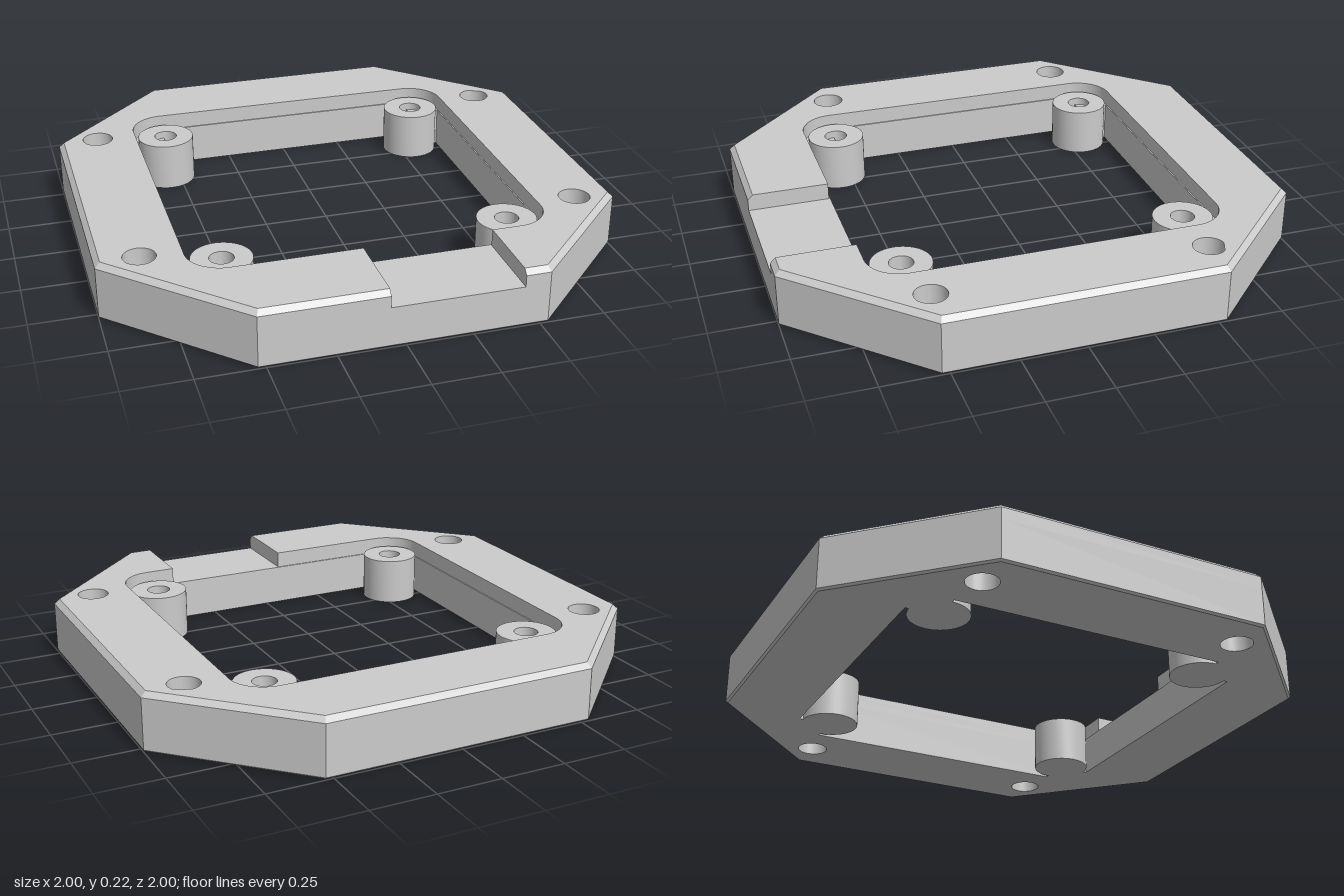
import * as THREE from 'three';
import { toCreasedNormals } from 'three/addons/utils/BufferGeometryUtils.js';

const C = 0.53;        // where the cut corners of the octagon start
const POST = 0.55;     // post centre and pocket corner centre
const POCKET = 0.685;  // half width of the upper pocket
const OPEN = 0.68;     // half width of the lower opening
const LEDGE = 0.16;    // floor of the cable notch and corner ledges

const octagon = [[C, -1], [1, -C], [1, C], [C, 1], [-C, 1], [-1, C], [-1, -C], [-C, -1]];

// Shapes are drawn in (x, -z)
function addScrewHoles(shape) {
  for (const sx of [-1, 1]) for (const sy of [-1, 1]) {
    const hole = new THREE.Path();
    hole.absarc(sx * 0.84, sy * 0.52, 0.061, 0, Math.PI * 2, true);
    shape.holes.push(hole);
  }
  return shape;
}

// Extrude through three heights, drawing in the outer edge on one of them as a chamfer
function chamferedLayer(shape, heights, chamferStep, inset) {
  const g = new THREE.ExtrudeGeometry(shape, { depth: 2, steps: 2, bevelEnabled: false, curveSegments: 20 });
  g.rotateX(-Math.PI / 2);
  const p = g.attributes.position;
  for (let i = 0; i < p.count; i++) {
    const step = Math.round(p.getY(i));
    let x = p.getX(i), z = p.getZ(i);
    const ax = Math.abs(x), az = Math.abs(z);
    if (step === chamferStep && Math.max(ax, az) > 0.999) {
      const side = inset * Math.tan(Math.PI / 8);
      if (az > 0.999) {
        z -= Math.sign(z) * inset;
        if (Math.abs(ax - C) < 0.001) x -= Math.sign(x) * side;
      } else {
        x -= Math.sign(x) * inset;
        z -= Math.sign(z) * side;
      }
    }
    p.setXYZ(i, x, heights[step], z);
  }
  return toCreasedNormals(g, 0.5);
}

export function createModel() {
  const group = new THREE.Group();
  const material = new THREE.MeshStandardMaterial({ color: 0xcccccc });
  const add = (name, geometry) => {
    const mesh = new THREE.Mesh(geometry, material);
    mesh.name = name;
    group.add(mesh);
    return mesh;
  };

  // Lower frame: square opening with a filled step in each corner
  const lower = new THREE.Shape(octagon.map(([x, y]) => new THREE.Vector2(x, y)));
  const opening = [];
  for (const [sx, sy] of [[1, 1], [-1, 1], [-1, -1], [1, -1]]) {
    const corner = [[OPEN, POST], [POST, POST], [POST, OPEN]];
    if (sx * sy < 0) corner.reverse();
    for (const [x, y] of corner) opening.push(new THREE.Vector2(sx * x, sy * y));
  }
  lower.holes.push(new THREE.Path(opening));
  add('lowerFrame', chamferedLayer(addScrewHoles(lower), [0, 0.008, LEDGE], 0, 0.008));

  // Upper frame: rounded pocket, broken at the front by the cable notch
  const upper = new THREE.Shape();
  upper.moveTo(0.435, -1);
  for (const [x, y] of octagon) upper.lineTo(x, y);
  upper.lineTo(-0.06, -1);
  upper.lineTo(-0.06, -POCKET);
  const r = POCKET - POST, q = Math.PI / 2;
  [[-1, -1, -q], [-1, 1, 2 * q], [1, 1, q], [1, -1, 0]].forEach(([sx, sy, a]) =>
    upper.absarc(sx * POST, sy * POST, r, a, a - q, true));
  upper.lineTo(0.435, -POCKET);
  upper.closePath();
  add('upperFrame', chamferedLayer(addScrewHoles(upper), [LEDGE, 0.205, 0.225], 2, 0.02));

  // Corner posts with blind screw holes
  const profile = [[0, 0], [0.115, 0], [0.115, 0.19], [0.046, 0.19], [0.046, 0.06], [0, 0.06]];
  const post = toCreasedNormals(
    new THREE.LatheGeometry(profile.map(([x, y]) => new THREE.Vector2(x, y)), 40), 0.5);
  for (const sx of [-1, 1]) for (const sz of [-1, 1]) {
    add(`${sz > 0 ? 'front' : 'back'}${sx > 0 ? 'Left' : 'Right'}Post`, post)
      .position.set(sx * POST, 0, sz * POST);
  }
  return group;
}
